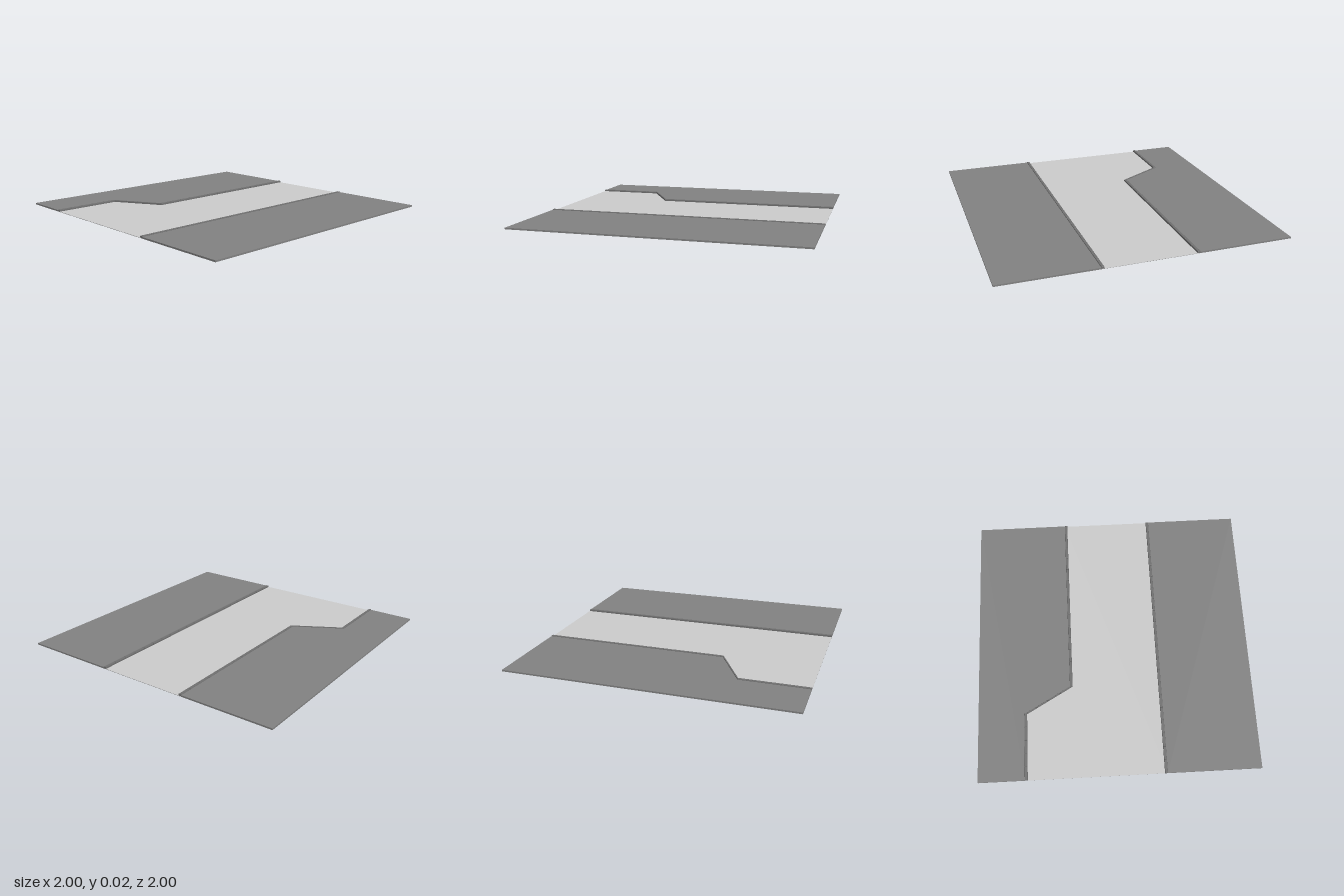
import * as THREE from 'three';

const GROUND_TOP = 0.011, CURB_TOP = 0.016, ROAD_TOP = 0.003;
const CURB_WIDTH = 0.02, STEP = 2 / 21;

const roadMaterial = new THREE.MeshStandardMaterial({ color: 0xcccccc });
const groundMaterial = new THREE.MeshStandardMaterial({ color: 0x828282 });
const curbMaterial = new THREE.MeshStandardMaterial({ color: 0x707070 });

// Flat slab with an outline given as [x, z] points
function slab(name, outline, bottom, top, material) {
  const shape = new THREE.Shape(outline.map(([x, z]) => new THREE.Vector2(x, -z)));
  const geometry = new THREE.ExtrudeGeometry(shape, { depth: top - bottom, bevelEnabled: false });
  geometry.rotateX(-Math.PI / 2).translate(0, bottom, 0);
  const mesh = new THREE.Mesh(geometry, material);
  mesh.name = name;
  return mesh;
}

// One curbstone: a box sheared along its run, with its top edges drawn in
function curbstone(a, b, t0, t1) {
  const geometry = new THREE.BoxGeometry(1, 1, 1, 1, 2, 1);
  const p = geometry.attributes.position;
  for (let i = 0; i < p.count; i++) {
    const level = p.getY(i);
    const inset = level > 0.4 ? 0.002 : 0;
    const end = Math.sign(p.getX(i)), side = Math.sign(p.getZ(i));
    const t = (end < 0 ? t0 : t1) - end * inset / (b[0] - a[0]);
    const across = side < 0 ? inset : CURB_WIDTH - inset;
    const y = level > 0.4 ? CURB_TOP : level < -0.4 ? 0.001 : CURB_TOP - 0.002;
    p.setXYZ(i, a[0] + (b[0] - a[0]) * t, y, a[1] + (b[1] - a[1]) * t + across);
  }
  geometry.computeVertexNormals();
  return new THREE.Mesh(geometry, curbMaterial);
}

// Row of equal curbstones from a to b
function curbRun(name, a, b, count) {
  const run = new THREE.Group();
  run.name = name;
  const gap = 0.0008 / (b[0] - a[0]);
  for (let i = 0; i < count; i++) {
    const stone = curbstone(a, b, i / count + (i ? gap : 0), (i + 1) / count - (i < count - 1 ? gap : 0));
    stone.name = 'curbstone';
    run.add(stone);
  }
  return run;
}

export function createModel() {
  const group = new THREE.Group();
  group.name = 'roadTile';

  // Back kerb line: wide bay on the right, slanting in to the normal width
  const back = [[-1, -0.67], [-1 + 5 * STEP, -0.67], [-1 + 7 * STEP, -0.334], [1, -0.334]];
  const front = 0.334;

  // Pavements on both sides
  group.add(slab('backPavement', [...back, [1, -1], [-1, -1]], 0, GROUND_TOP, groundMaterial));
  group.add(slab('frontPavement', [[-1, front], [-1, 1], [1, 1], [1, front]], 0, GROUND_TOP, groundMaterial));

  // Roadway with its dark bed beneath
  const road = [...back, [1, front], [-1, front]];
  group.add(slab('roadBed', road, 0, 0.001, groundMaterial));
  group.add(slab('roadSurface', road, 0.001, ROAD_TOP, roadMaterial));

  // Curbs along the road edges
  group.add(curbRun('bayCurb', back[0], back[1], 5));
  group.add(curbRun('slantedCurb', back[1], back[2], 4));
  group.add(curbRun('backCurb', back[2], back[3], 14));
  group.add(curbRun('frontCurb', [-1, front - CURB_WIDTH], [1, front - CURB_WIDTH], 21));

  return group;
}
